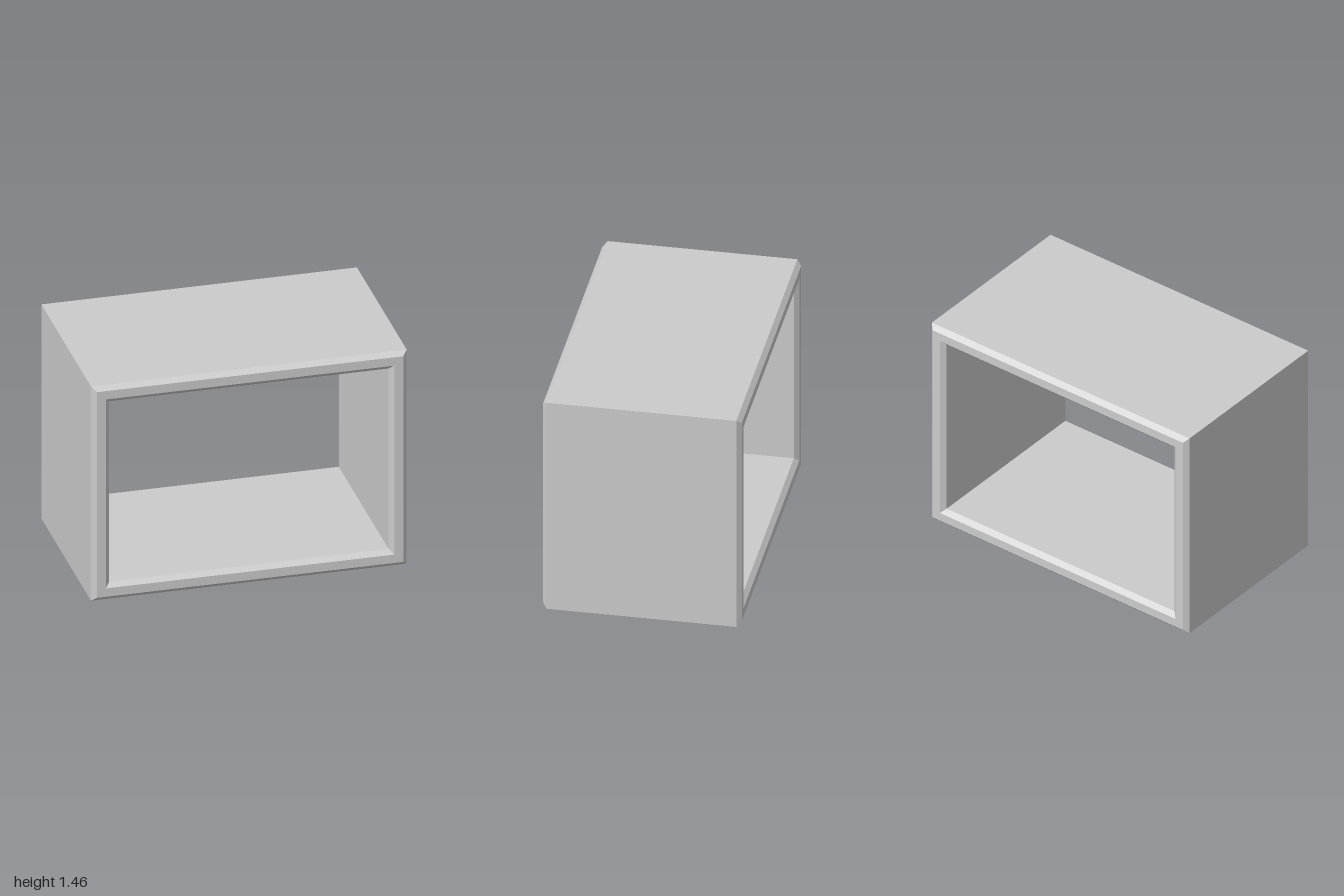
import * as THREE from 'three';

const W = 2, H = 1.46, D = 1.24; // overall size
const WALL = 0.115, BEVEL = 0.029;

// Rectangle centred on x, trimmed by the same margin on every side
function trace(path, margin) {
  const x = W / 2 - margin, y0 = margin, y1 = H - margin;
  path.moveTo(-x, y0);
  path.lineTo(x, y0);
  path.lineTo(x, y1);
  path.lineTo(-x, y1);
  path.closePath();
  return path;
}

export function createModel() {
  const group = new THREE.Group();
  group.name = 'openBox';

  // Rectangular sleeve open at front and back, with chamfered rims
  const outline = trace(new THREE.Shape(), BEVEL);
  outline.holes.push(trace(new THREE.Path(), WALL - BEVEL));
  const geometry = new THREE.ExtrudeGeometry(outline, {
    depth: D - 2 * BEVEL,
    bevelEnabled: true,
    bevelSize: BEVEL,
    bevelThickness: BEVEL,
    bevelSegments: 1,
  });
  geometry.translate(0, 0, BEVEL - D / 2);

  const frame = new THREE.Mesh(
    geometry,
    new THREE.MeshStandardMaterial({ color: 0xcccccc, flatShading: true })
  );
  frame.name = 'frame';
  group.add(frame);
  return group;
}
